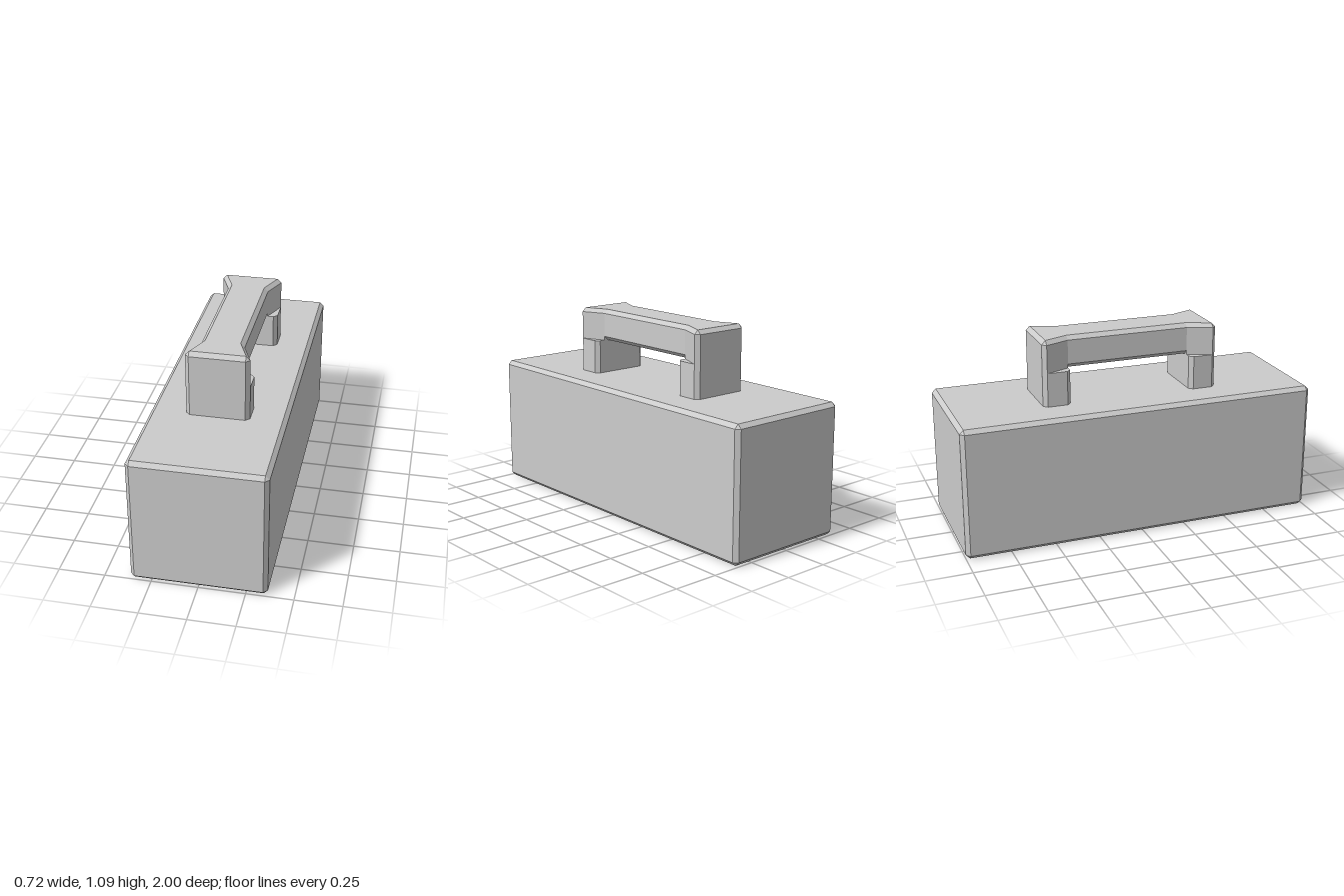
import * as THREE from 'three';
import { ConvexGeometry } from 'three/addons/geometries/ConvexGeometry.js';

const C = 0.022; // chamfer used on every edge

// Box with all edges and corners cut off
function chamferedBox(w, h, d) {
  const points = [];
  for (const sx of [-1, 1]) for (const sy of [-1, 1]) for (const sz of [-1, 1]) {
    const x = w / 2, y = h / 2, z = d / 2;
    points.push(
      new THREE.Vector3(sx * x, sy * (y - C), sz * (z - C)),
      new THREE.Vector3(sx * (x - C), sy * y, sz * (z - C)),
      new THREE.Vector3(sx * (x - C), sy * (y - C), sz * z));
  }
  return new ConvexGeometry(points);
}

// Upright post with chamfered vertical edges
function postGeometry(w, h, d) {
  const points = [];
  for (const sx of [-1, 1]) for (const sz of [-1, 1]) for (const y of [0, h]) {
    points.push(
      new THREE.Vector3(sx * w / 2, y, sz * (d / 2 - C)),
      new THREE.Vector3(sx * (w / 2 - C), y, sz * d / 2));
  }
  return new ConvexGeometry(points);
}

// Grip: eight-sided sections joined along z, flaring to both ends
function gripGeometry(bottom, top) {
  // z, half width, top drop, top chamfer, bottom chamfer
  const half = [
    [0.5, 0.148, C, 0, 0],
    [0.5 - C, 0.17, 0, C, 0],
    [0.345, 0.115, 0, C, 0],
    [0.345, 0.115, 0, C, C],
  ];
  const sections = [...half, ...half.slice().reverse().map(([z, ...r]) => [-z, ...r])];
  const rings = sections.map(([z, w, drop, ct, cb]) => {
    const t = top - drop;
    return [
      [w - cb, bottom], [w, bottom + cb], [w, t - ct], [w - ct, t],
      [ct - w, t], [-w, t - ct], [-w, bottom + cb], [cb - w, bottom],
    ].map(([x, y]) => new THREE.Vector3(x, y, z));
  });
  const position = [];
  const triangle = new THREE.Triangle();
  const add = (a, b, c) => {
    if (triangle.set(a, b, c).getArea() < 1e-8) return;
    for (const p of [a, b, c]) position.push(p.x, p.y, p.z);
  };
  for (let i = 0; i < rings.length - 1; i++) {
    for (let j = 0; j < 8; j++) {
      const k = (j + 1) % 8;
      const a = rings[i][j], b = rings[i][k], c = rings[i + 1][j], d = rings[i + 1][k];
      add(a, c, d);
      add(a, d, b);
    }
  }
  const first = rings[0], last = rings[rings.length - 1];
  for (let j = 1; j < 7; j++) {
    add(first[0], first[j], first[j + 1]);
    add(last[0], last[j + 1], last[j]);
  }
  const geometry = new THREE.BufferGeometry();
  geometry.setAttribute('position', new THREE.Float32BufferAttribute(position, 3));
  geometry.computeVertexNormals();
  return geometry;
}

export function createModel() {
  const model = new THREE.Group();
  model.name = 'handledBlock';
  const material = new THREE.MeshStandardMaterial({ color: 0xcccccc, flatShading: true });
  const add = (name, geometry, y, z = 0, parent = model) => {
    const mesh = new THREE.Mesh(geometry, material);
    mesh.name = name;
    mesh.position.set(0, y, z);
    parent.add(mesh);
  };

  // Main block
  const height = 0.727;
  add('body', chamferedBox(0.724, height, 2), height / 2);

  // Carrying handle: two posts under a flared grip
  const handle = new THREE.Group();
  handle.name = 'handle';
  model.add(handle);
  const gripBottom = 0.915;
  const post = postGeometry(0.34, gripBottom - height, 0.155);
  add('frontPost', post, height, 0.4225, handle);
  add('backPost', post, height, -0.4225, handle);
  add('grip', gripGeometry(gripBottom, 1.092), 0, 0, handle);

  return model;
}
